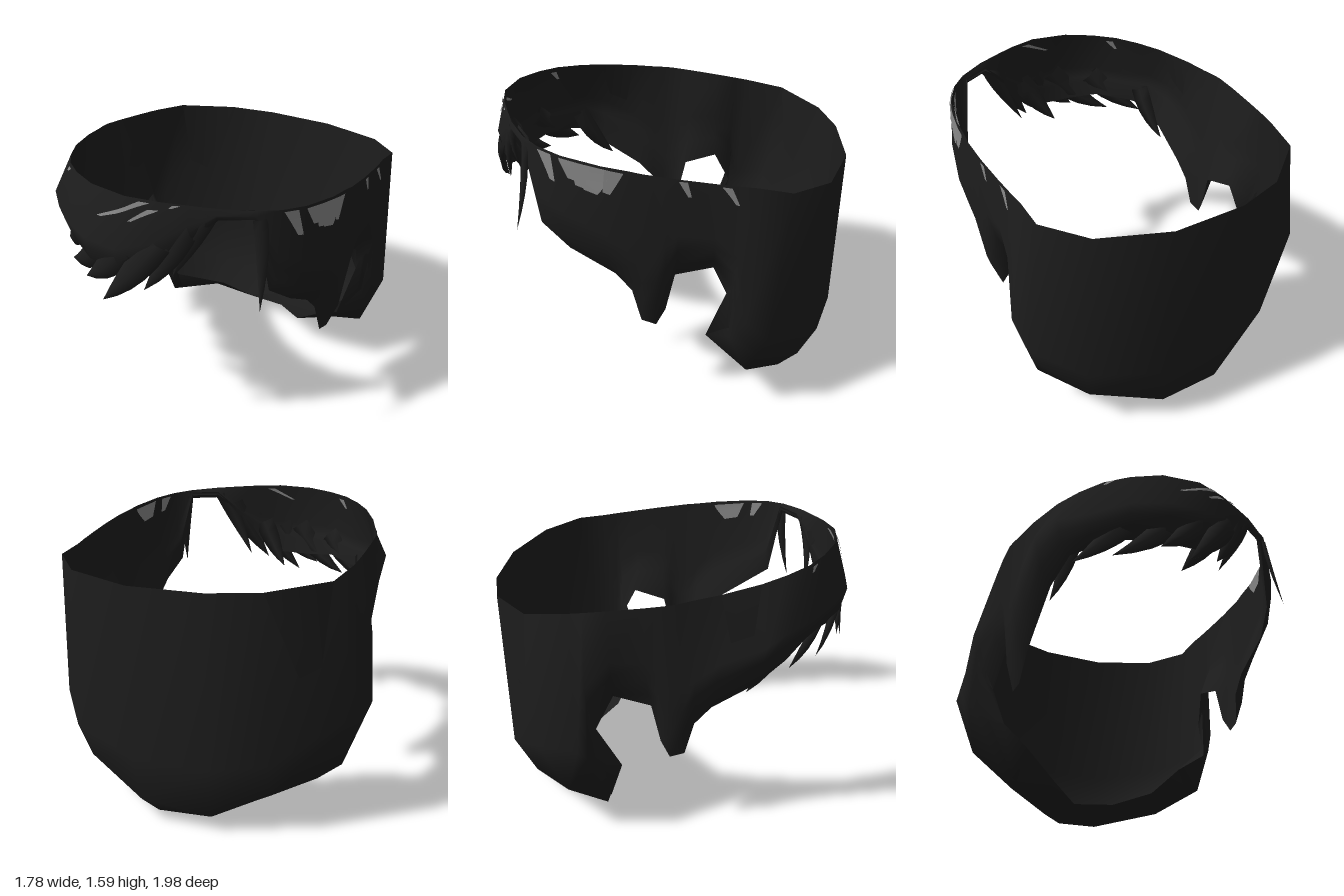
import * as THREE from 'three';

const V = (x, y, z) => new THREE.Vector3(x, y, z);
const hair = new THREE.MeshStandardMaterial({ color: 0x1d1d1d, side: THREE.DoubleSide });
hair.name = 'black hair';
const shine = new THREE.MeshStandardMaterial({ color: 0x858585, side: THREE.DoubleSide });
shine.name = 'grey highlight';
const THICKNESS = 0.035;

// The crown opening is cut by a plane tilted down toward the back.
const rim = (x, z) => V(x, 1.475 + 0.13 * z, z);

// Shift a point away from the vertical axis.
const pushOut = (p, d) => p.clone().addScaledVector(V(p.x, 0, p.z).normalize(), d);

// A column of hair: rim, widest point, turn, underside, lip.
function column(T, M, L, B, bulge = 0) {
  const K = M.clone().lerp(L, 0.5 - bulge);
  K.y = THREE.MathUtils.lerp(M.y, L.y, 0.5 + bulge);
  return [T, M, K, L, B];
}
function simpleColumn(tx, tz, mx, my, mz, bx, by, bz) {
  const L = V(mx * 0.6 + bx * 0.4, my * 0.35 + by * 0.65, mz * 0.6 + bz * 0.4);
  return column(rim(tx, tz), V(mx, my, mz), L, V(bx, by, bz));
}

// Side, front to back: temple, sideburn, ear notch.
const side = [
  [0.69, 0.58, 0.70, 1.30, 0.60, 0.65, 1.10, 0.60],
  [0.76, 0.45, 0.78, 1.25, 0.48, 0.70, 0.98, 0.45],
  [0.81, 0.25, 0.84, 1.15, 0.25, 0.70, 0.83, 0.22],
  [0.82, 0.12, 0.84, 1.05, 0.13, 0.71, 0.73, 0.13],
  [0.83, 0.05, 0.84, 1.00, 0.06, 0.73, 0.55, 0.08],
  [0.83, 0.00, 0.84, 1.00, 0.00, 0.74, 0.53, 0.00],
  [0.83, -0.06, 0.84, 1.10, -0.06, 0.72, 0.62, -0.05],
  [0.83, -0.12, 0.84, 1.15, -0.12, 0.71, 0.84, -0.10],
  [0.82, -0.30, 0.84, 1.15, -0.30, 0.72, 0.90, -0.30],
  [0.81, -0.42, 0.86, 1.05, -0.42, 0.75, 0.70, -0.40],
  [0.80, -0.50, 0.89, 0.68, -0.47, 0.70, 0.44, -0.27],
];

// The right temple is drawn in more at the rim than the left.
function rightColumn([tx, tz, mx, my, mz, bx, by, bz]) {
  const pinch = 0.95 - 0.22 * Math.max(0, tz);
  const spread = Math.abs(tz) < 0.41 ? 0.93 : 1;
  return simpleColumn(-tx * pinch, tz, -mx * spread, my, mz, -bx * 0.95, by, bz);
}

// Back, left to right: rim, widest point, underside, inner lip, bulge.
const back = [
  [0.80, -0.67, 0.87, 0.55, -0.60, 0.78, 0.27, -0.50, 0.53, 0.33, -0.31, 0],
  [0.62, -0.87, 0.66, 0.48, -0.86, 0.56, 0.13, -0.70, 0.38, 0.18, -0.41, 0.1],
  [0.25, -1.00, 0.26, 0.41, -1.00, 0.18, 0.04, -0.87, 0.18, 0.12, -0.57, 0.2],
  [-0.16, -1.00, -0.16, 0.41, -1.00, -0.13, 0.00, -0.72, -0.08, 0.10, -0.59, 0.25],
  [-0.43, -0.93, -0.46, 0.45, -0.92, -0.38, 0.09, -0.61, -0.25, 0.20, -0.50, 0.15],
  [-0.71, -0.72, -0.87, 0.70, -0.68, -0.59, 0.11, -0.37, -0.50, 0.31, -0.29, 0.12],
];

// Fringe, right to left, ending in the shallow parting.
const fringe = [
  [-0.47, 0.70, -0.56, 1.30, 0.73, -0.54, 1.13, 0.65],
  [-0.35, 0.79, -0.39, 1.33, 0.87, -0.37, 1.16, 0.78],
  [-0.19, 0.87, -0.20, 1.33, 0.96, -0.21, 1.13, 0.88],
  [0.03, 0.90, 0.00, 1.33, 0.98, 0.00, 1.13, 0.90],
  [0.20, 0.86, 0.17, 1.38, 0.92, 0.16, 1.20, 0.88],
  [0.33, 0.81, 0.33, 1.48, 0.83, 0.32, 1.36, 0.81],
  [0.45, 0.76, 0.45, 1.54, 0.77, 0.45, 1.51, 0.75],
  [0.60, 0.67, 0.61, 1.54, 0.68, 0.60, 1.51, 0.66],
];

const columns = [
  ...side.map(c => simpleColumn(...c)),
  ...back.map(c => column(rim(c[0], c[1]), V(c[2], c[3], c[4]), V(c[5], c[6], c[7]), V(c[8], c[9], c[10]), c[11])),
  ...side.slice().reverse().map(rightColumn),
  ...fringe.map(c => simpleColumn(...c)),
];

// The lining follows the outside from lip to rim.
const lining = columns.map(([T, M, K, L, B]) =>
  [B, pushOut(L, -THICKNESS).setY(L.y + 0.03), pushOut(K, -THICKNESS), pushOut(M, -THICKNESS), T]);

// Skin a list of point rows; wrapU joins the last row to the first.
function skin(rows, wrapU, wrapV) {
  const n = rows.length, m = rows[0].length, index = [];
  for (let i = 0; i < (wrapU ? n : n - 1); i++) {
    for (let j = 0; j < (wrapV ? m : m - 1); j++) {
      const i1 = (i + 1) % n, j1 = (j + 1) % m;
      const a = i * m + j, b = i * m + j1, c = i1 * m + j1, d = i1 * m + j;
      index.push(a, b, d, b, c, d);
    }
  }
  const g = new THREE.BufferGeometry().setFromPoints(rows.flat());
  g.setIndex(index);
  g.computeVertexNormals();
  return g;
}

// Tapered, flattened lock of hair along a curve.
function lockGeometry(root, mid, tip, width) {
  const curve = new THREE.QuadraticBezierCurve3(V(...root), V(...mid), V(...tip));
  const rows = [];
  for (let i = 0; i <= 5; i++) {
    const t = i / 5, p = curve.getPoint(t), dir = curve.getTangent(t);
    const out = V(p.x, 0, p.z).normalize();
    const across = dir.clone().cross(out).normalize();
    const w = width * Math.max(0.01, (1 - t) * (0.7 + t));
    rows.push([[1, 0], [0, 0.35], [-1, 0], [0, -0.35]].map(([s, o]) =>
      p.clone().addScaledVector(across, s * w).addScaledVector(out, o * w)));
  }
  return skin(rows, false, true);
}

// Point just off the shell: u runs over columns, t from rim to widest point.
function onShell(u, t, outside) {
  const n = columns.length, i = Math.floor(u);
  const at = c => c[0].clone().lerp(c[1], t);
  const p = at(columns[i % n]).lerp(at(columns[(i + 1) % n]), u - i);
  return pushOut(p, outside ? 0.009 : -0.009 - THICKNESS * t);
}

// Highlight streak tapering from (u0, t0) to (u1, t1).
function streakGeometry(u0, t0, u1, t1, w, outside) {
  const rows = [];
  for (let i = 0; i <= 6; i++) {
    const s = i / 6, u = u0 + (u1 - u0) * s, t = t0 + (t1 - t0) * s;
    const h = w * (1 - 0.6 * s);
    rows.push([onShell(u + h, t, outside), onShell(u - h, t, outside)]);
  }
  return skin(rows, false, false);
}

export function createModel() {
  const model = new THREE.Group();
  const add = (name, geometry, material = hair) => {
    const mesh = new THREE.Mesh(geometry, material);
    mesh.name = name;
    model.add(mesh);
  };

  // Main shell: outside and lining
  add('outerHair', skin(columns, true, false));
  add('innerHair', skin(lining, true, false));

  // Loose locks of the fringe and temples
  [
    [[0.41, 1.54, 0.77], [0.33, 1.38, 0.82], [0.20, 1.13, 0.78], 0.07],
    [[0.32, 1.48, 0.81], [0.25, 1.28, 0.86], [0.11, 1.09, 0.90], 0.09],
    [[0.20, 1.38, 0.89], [0.08, 1.18, 0.97], [-0.10, 1.00, 0.97], 0.10],
    [[0.14, 1.34, 0.88], [0.06, 1.18, 0.86], [-0.04, 1.06, 0.78], 0.09],
    [[0.02, 1.32, 0.94], [-0.08, 1.16, 0.95], [-0.24, 1.07, 0.92], 0.10],
    [[-0.10, 1.32, 0.93], [-0.24, 1.12, 0.90], [-0.45, 1.04, 0.78], 0.10],
    [[-0.34, 1.29, 0.83], [-0.46, 1.14, 0.75], [-0.61, 1.05, 0.62], 0.10],
    [[-0.60, 1.22, 0.60], [-0.61, 1.04, 0.52], [-0.65, 0.92, 0.40], 0.08],
    [[0.62, 1.52, 0.66], [0.65, 1.35, 0.66], [0.67, 1.06, 0.73], 0.05],
  ].forEach(([root, mid, tip, w], i) => add('lock' + (i + 1), lockGeometry(root, mid, tip, w)));

  // Highlight streaks near the rim, outside
  [
    [0.35, 0.03, 0.75, 0.5, 0.28],
    [1.15, 0.03, 1.3, 0.33, 0.2],
    [1.5, 0.03, 1.5, 0.4, 0.25],
    [2.0, 0.03, 1.75, 0.42, 0.4],
    [2.5, 0.03, 2.2, 0.35, 0.35],
    [7.12, 0.02, 7.3, 0.27, 0.12],
    [8.4, 0.03, 8.85, 0.26, 0.2],
    [31.6, 0.04, 30.4, 0.48, 0.16],
    [31.9, 0.18, 31.3, 0.45, 0.16],
    [32.6, 0.03, 32.4, 0.13, 0.14],
    [28.3, 0.04, 28.1, 0.14, 0.15],
  ].forEach((s, i) => add('outerHighlight' + (i + 1), streakGeometry(...s, true), shine));

  // Highlight streaks on the lining
  [
    [0.5, 0.05, 0.75, 0.35, 0.25],
    [1.6, 0.05, 1.5, 0.35, 0.5],
    [31.4, 0.08, 30.6, 0.35, 0.15],
    [28.3, 0.1, 28.1, 0.3, 0.15],
  ].forEach((s, i) => add('innerHighlight' + (i + 1), streakGeometry(...s, false), shine));

  return model;
}
